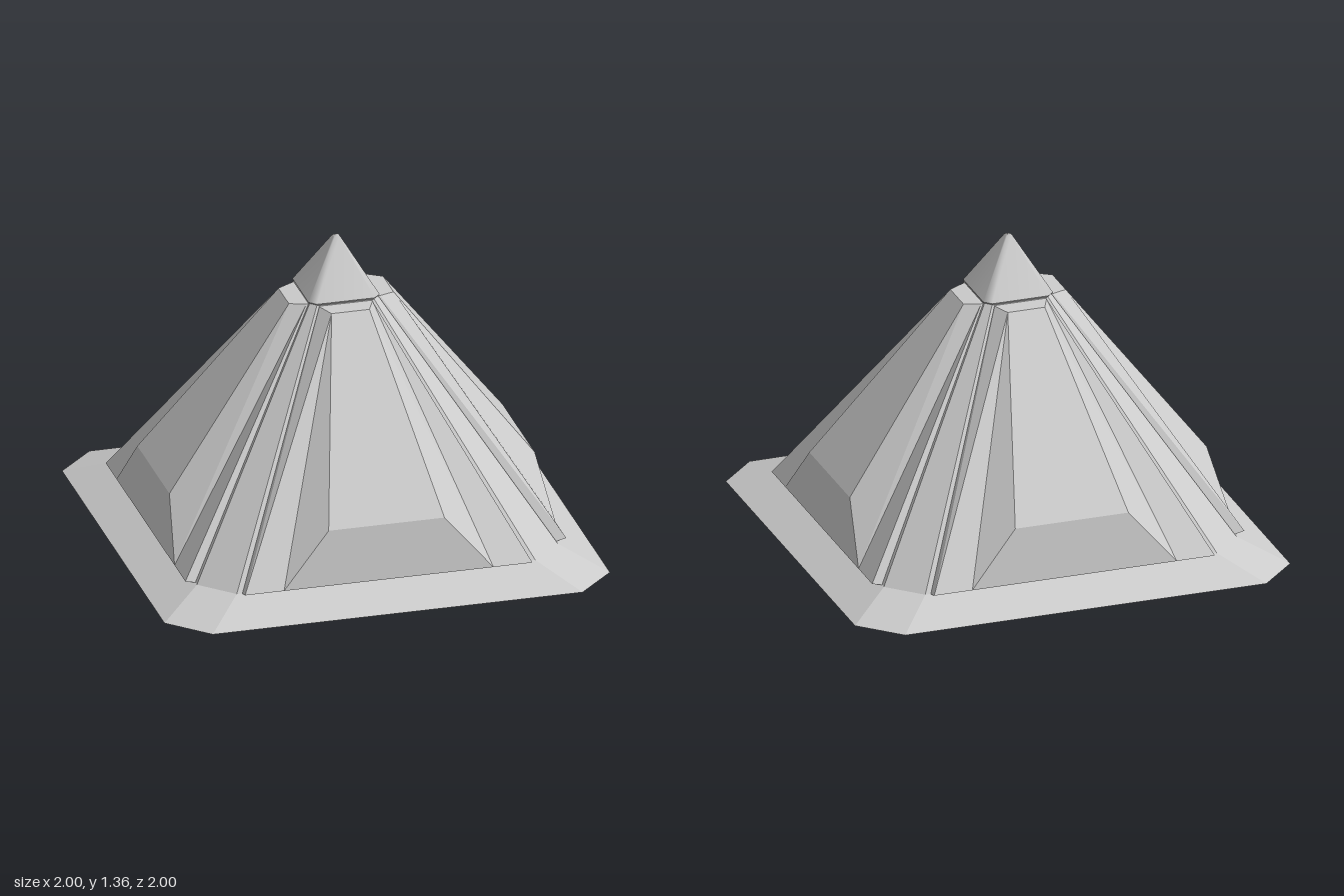
import * as THREE from 'three';

const flat = new THREE.MeshStandardMaterial({ color: 0xcccccc, flatShading: true, side: THREE.DoubleSide });
const smooth = new THREE.MeshStandardMaterial({ color: 0xcccccc, side: THREE.DoubleSide });

// Square ring with cut corners: half width a, corner starts at c, height y
const octagon = (a, c, y) =>
  [[-c, a], [c, a], [a, c], [a, -c], [c, -a], [-c, -a], [-a, -c], [-a, c]].map(([x, z]) => [x, y, z]);

function build(positions, index) {
  const g = new THREE.BufferGeometry();
  g.setAttribute('position', new THREE.Float32BufferAttribute(positions.flat(), 3));
  g.setIndex(index);
  g.computeVertexNormals();
  return g;
}

// Skin between two rings, optionally closed at the top
function loft(lower, upper, closed = false) {
  const n = lower.length, index = [];
  for (let a = 0; a < n; a++) {
    const b = (a + 1) % n;
    index.push(a, b, b + n, a, b + n, a + n);
  }
  if (closed) for (let i = 1; i < n - 1; i++) index.push(n, n + i, n + i + 1);
  return build([...lower, ...upper], index);
}

// Polygons split into triangle fans
function polygons(faces) {
  const positions = [];
  for (const f of faces) {
    for (let i = 1; i < f.length - 1; i++) positions.push(f[0], f[i], f[i + 1]);
  }
  return build(positions, positions.map((_, i) => i));
}

// Raised trapezoid panel: faceted bulge outside, bevelled block reaching inside
function panelGeometry() {
  const m = ([x, y, z]) => [-x, y, z];
  const rim = [0.645, 0.1, 0.855], rimTop = [0.118, 1.105, 0.165];
  const foot = [0.47, 0.1, 0.855], knee = [0.26, 0.345, 0.82], head = [0.085, 1.1, 0.235];
  const wall = [0.645, 0.088, 0.805], wallTop = [0.118, 1.105, 0.15];
  const back = [0.5, 0.095, 0.68], backTop = [0.08, 1.07, 0.08];
  const centre = [
    [m(foot), foot, knee, m(knee)],
    [m(knee), knee, head, m(head)],
    [m(head), head, rimTop, m(rimTop)],
    [m(rimTop), rimTop, wallTop, m(wallTop)],
    [m(wall), wall, rim, m(rim)],
    [m(back), back, wall, m(wall)],
    [back, m(back), m(backTop), backTop],
    [m(wallTop), wallTop, backTop, m(backTop)],
  ];
  const side = [
    [foot, rim, rimTop, head],
    [foot, head, knee],
    [rim, wall, wallTop, rimTop],
    [wall, back, backTop, wallTop],
  ];
  const mirrored = side.map((f) => f.map(m).reverse());
  return polygons([...centre, ...side, ...mirrored]);
}

export function createModel() {
  const group = new THREE.Group();
  const add = (name, geometry, material = flat) => {
    const mesh = new THREE.Mesh(geometry, material);
    mesh.name = name;
    group.add(mesh);
    return mesh;
  };

  // Sloping skirt, open underneath
  add('skirt', loft(octagon(1, 0.83, 0), octagon(0.81, 0.67, 0.09)));

  // Hollow pyramid body with cut corners
  add('body', loft(octagon(0.81, 0.67, 0.09), octagon(0.15, 0.125, 1.115)));

  // One panel on each side
  const panel = panelGeometry();
  ['frontPanel', 'leftPanel', 'backPanel', 'rightPanel'].forEach((name, i) => {
    add(name, panel).rotation.y = i * Math.PI / 2;
  });

  // Softly shaded pointed cap with a narrow undercut below it
  add('cap', loft(octagon(0.16, 0.13, 1.117), octagon(0.015, 0.01, 1.36), true), smooth);
  add('capUndercut', loft(octagon(0.15, 0.12, 1.1), octagon(0.16, 0.13, 1.117)));

  return group;
}
